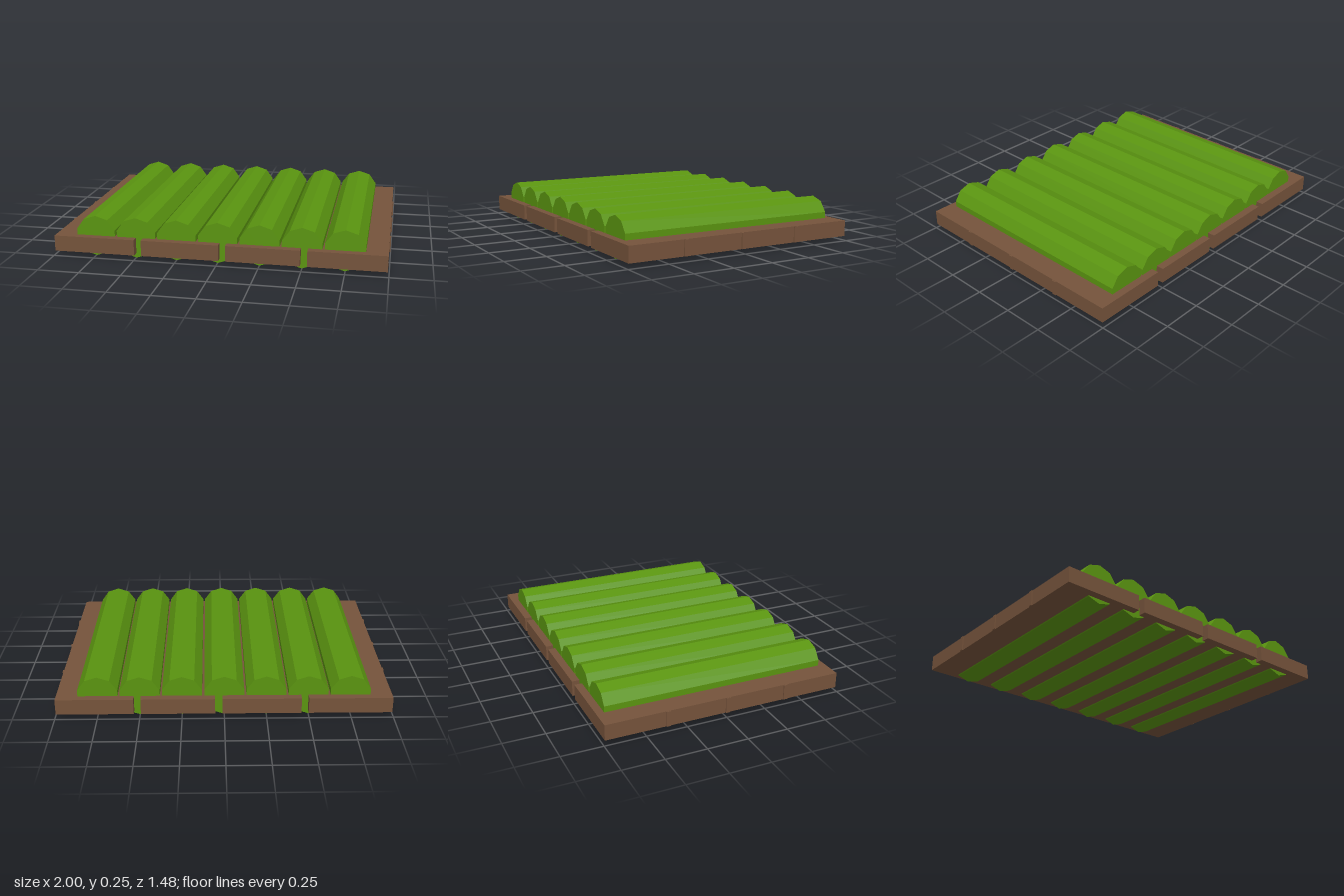
import * as THREE from 'three';

export function createModel() {
  const raft = new THREE.Group();
  raft.name = 'raft';
  const green = new THREE.MeshStandardMaterial({ color: 0x5a9410, flatShading: true });
  const brown = new THREE.MeshStandardMaterial({ color: 0x75533b, flatShading: true });

  const box = (name, x0, x1, y0, y1, z0, z1) => {
    const mesh = new THREE.Mesh(new THREE.BoxGeometry(x1 - x0, y1 - y0, z1 - z0), brown);
    mesh.position.set((x0 + x1) / 2, (y0 + y1) / 2, (z0 + z1) / 2);
    mesh.name = name;
    raft.add(mesh);
  };

  // Four deck planks with narrow gaps between them
  const planks = [[-0.993, -0.498], [-0.455, 0.012], [0.054, 0.492], [0.534, 0.993]];
  planks.forEach(([x0, x1], i) => box(`deckPlank${i + 1}`, x0, x1, 0.03, 0.126, -0.742, 0.742));

  // Cross bars whose ends stand just proud of the deck sides
  [-0.364, 0.008, 0.388].forEach((z, i) =>
    box(`crossBar${i + 1}`, -1, 1, 0.031, 0.125, z - 0.013, z + 0.013));

  // Seven ten-sided logs lying front to back, sunk halfway into the deck
  const logGeometry = new THREE.CylinderGeometry(0.124, 0.124, 1.39, 10);
  logGeometry.rotateX(Math.PI / 2);
  for (let i = 0; i < 7; i++) {
    const log = new THREE.Mesh(logGeometry, green);
    log.name = `log${i + 1}`;
    log.position.set((i - 3) * 0.249, 0.125, 0);
    raft.add(log);
  }
  return raft;
}
